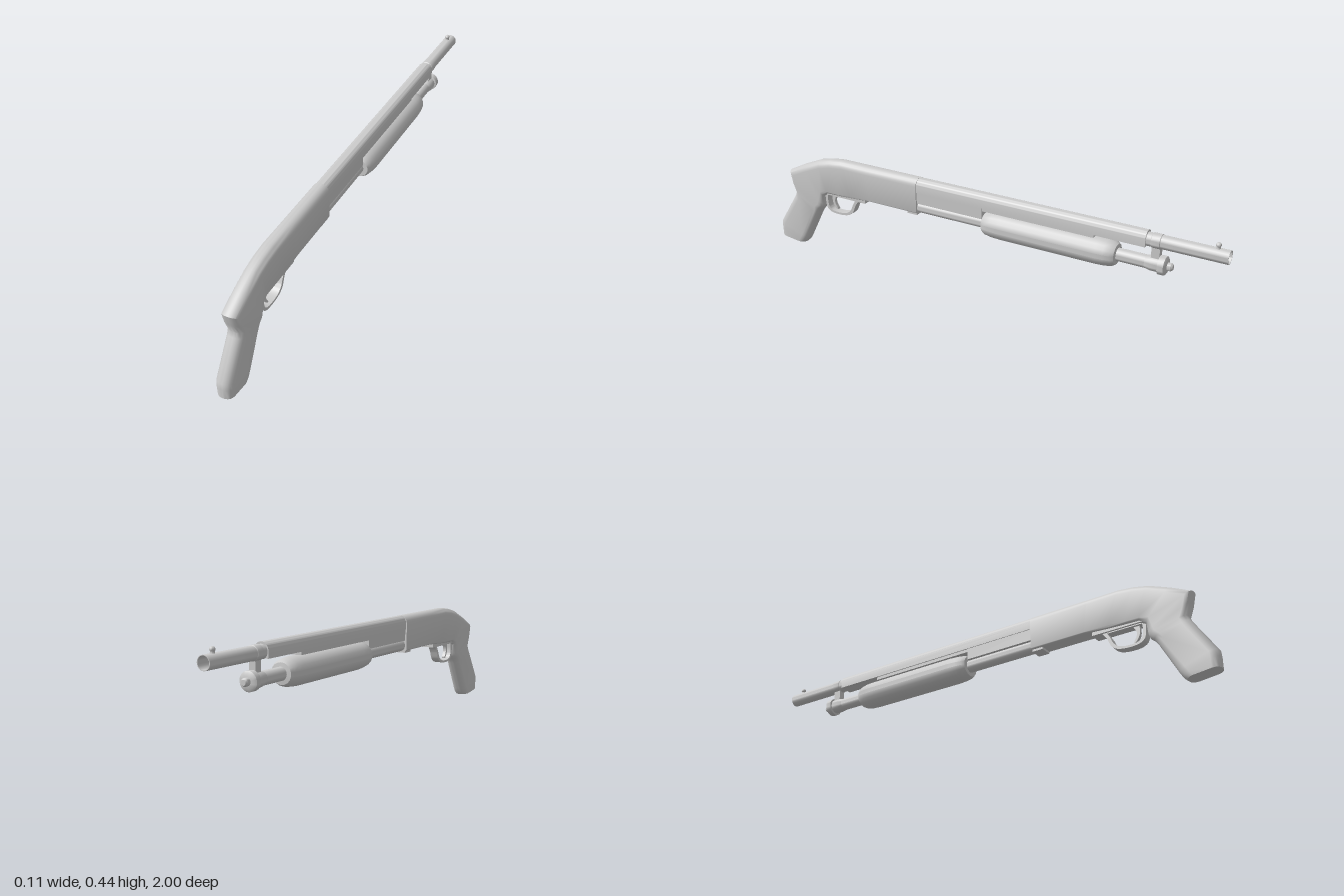
import * as THREE from 'three';
import { toCreasedNormals } from 'three/addons/utils/BufferGeometryUtils.js';

const material = new THREE.MeshStandardMaterial({ color: 0xcccccc, side: THREE.DoubleSide });

export function createModel() {
  const model = new THREE.Group();

  function add(name, geometry, x = 0, y = 0, z = 0, crease = 0.6) {
    const mesh = new THREE.Mesh(toCreasedNormals(geometry, crease), material);
    mesh.name = name;
    mesh.position.set(x, y, z);
    model.add(mesh);
    return mesh;
  }
  const box = (name, w, y0, y1, z0, z1) =>
    add(name, new THREE.BoxGeometry(w, y1 - y0, z1 - z0), 0, (y0 + y1) / 2, (z0 + z1) / 2);

  // Turned part along z; profile rows are [radius, z], running from rear to muzzle
  function turned(name, y, profile, sides = 24) {
    const points = profile.map(([r, z]) => new THREE.Vector2(r, -z));
    return add(name, new THREE.LatheGeometry(points, sides).rotateX(-Math.PI / 2), 0, y, 0);
  }

  // Side outline given as [z, y], extruded across x
  function sideShape(points, Type = THREE.Shape) {
    return new Type(new THREE.SplineCurve(points.map(p => new THREE.Vector2(...p))).getPoints(points.length * 5));
  }
  function sideExtrude(name, shape, width) {
    const geometry = new THREE.ExtrudeGeometry(shape, { depth: width, bevelEnabled: false });
    add(name, geometry.translate(0, 0, -width / 2).rotateY(-Math.PI / 2));
  }

  // Receiver and pistol grip: rounded sections lofted from the front to the butt
  // [top z, top y, bottom z, bottom y, half width, top radius, bottom radius]
  const sections = [
    [0.27, 0.432, 0.27, 0.285, 0.033, 0.03, 0.008],
    [0.52, 0.432, 0.5, 0.285, 0.033, 0.03, 0.008],
    [0.65, 0.432, 0.6, 0.278, 0.033, 0.03, 0.01],
    [0.71, 0.425, 0.66, 0.275, 0.033, 0.03, 0.012],
    [0.765, 0.412, 0.72, 0.27, 0.033, 0.03, 0.02],
    [0.85, 0.376, 0.744, 0.255, 0.033, 0.03, 0.025],
    [0.928, 0.337, 0.747, 0.215, 0.033, 0.03, 0.03],
    [0.918, 0.29, 0.752, 0.2, 0.033, 0.03, 0.03],
    [0.902, 0.245, 0.768, 0.187, 0.033, 0.03, 0.03],
    [0.91, 0.225, 0.782, 0.165, 0.033, 0.03, 0.03],
    [0.998, 0.086, 0.85, 0.035, 0.033, 0.03, 0.03],
    [1.0, 0.06, 0.863, 0.014, 0.033, 0.03, 0.03],
    [1.0, 0.018, 0.875, 0.003, 0.031, 0.028, 0.028],
  ];
  const positions = [], index = [], perCorner = 6, ring = perCorner * 4;
  sections.forEach(([tz, ty, bz, by, w, rt, rb]) => {
    const length = Math.hypot(tz - bz, ty - by);
    for (let j = 0; j < ring; j++) {
      const corner = Math.floor(j / perCorner);
      const angle = (corner + (j % perCorner) / (perCorner - 1)) * Math.PI / 2;
      const r = corner < 2 ? rt : rb;
      const sx = corner === 0 || corner === 3 ? 1 : -1;
      const x = sx * (w - r) + r * Math.cos(angle);
      const v = ((corner < 2 ? length - r : r) + r * Math.sin(angle)) / length;
      positions.push(x, by + (ty - by) * v, bz + (tz - bz) * v);
    }
  });
  const last = (sections.length - 1) * ring;
  for (const s of [sections[0], sections.at(-1)]) positions.push(0, (s[1] + s[3]) / 2, (s[0] + s[2]) / 2);
  const center = last + ring;
  for (let j = 0; j < ring; j++) {
    const k = (j + 1) % ring;
    for (let a = 0; a < last; a += ring) index.push(a + j, a + k, a + ring + j, a + k, a + ring + k, a + ring + j);
    index.push(center, k, j, center + 1, last + j, last + k);
  }
  const body = new THREE.BufferGeometry();
  body.setAttribute('position', new THREE.Float32BufferAttribute(positions, 3));
  body.setIndex(index);
  add('receiverAndGrip', body, 0, 0, 0, 0.75);
  box('receiverLug', 0.05, 0.276, 0.29, 0.272, 0.318);

  // Arched shroud over the barrel
  const arch = new THREE.Shape();
  arch.moveTo(-0.029, 0.375);
  arch.lineTo(0.029, 0.375);
  arch.lineTo(0.029, 0.403);
  arch.absarc(0, 0.403, 0.029, 0, Math.PI);
  add('barrelShroud', new THREE.ExtrudeGeometry(arch, { depth: 0.975, bevelEnabled: false, curveSegments: 16 }), 0, 0, -0.7);

  // Barrel with an open bore, and the bead sight
  turned('barrel', 0.398, [[0.026, 0], [0.026, -1], [0.0235, -1], [0.0235, -0.6], [0, -0.6]]);
  add('sightPost', new THREE.CylinderGeometry(0.007, 0.009, 0.02, 12), 0, 0.427, -0.955);
  add('sightBead', new THREE.SphereGeometry(0.01, 14, 10), 0, 0.436, -0.955);

  // Action housing below the shroud
  box('actionRail', 0.05, 0.362, 0.378, -0.5, 0.28);
  box('actionHousing', 0.052, 0.328, 0.378, -0.03, 0.28);

  // Magazine tube, end cap and barrel clamp
  turned('magazineTube', 0.307, [[0, 0.28], [0.025, 0.28], [0.025, -0.72]]);
  turned('magazineCap', 0.307, [
    [0.025, -0.7], [0.029, -0.722], [0.029, -0.75], [0.036, -0.752], [0.036, -0.775],
    [0.028, -0.78], [0.015, -0.782], [0.015, -0.795], [0.01, -0.802], [0, -0.802],
  ]);
  box('barrelClamp', 0.026, 0.325, 0.382, -0.752, -0.72);
  turned('clampRing', 0.398, [[0.026, -0.718], [0.028, -0.72], [0.028, -0.752], [0.026, -0.754]]);

  // Sliding forend with rounded ends
  turned('forend', 0.307, [
    [0.025, -0.034], [0.043, -0.034], [0.05, -0.045], [0.055, -0.075], [0.057, -0.11], [0.057, -0.52],
    [0.055, -0.55], [0.05, -0.575], [0.042, -0.588], [0.025, -0.59],
  ], 18).scale.y = 0.95;

  // Trigger plate, guard and trigger
  box('triggerPlate', 0.05, 0.268, 0.29, 0.53, 0.745);
  const guard = sideShape([[0.565, 0.272], [0.585, 0.245], [0.605, 0.205], [0.64, 0.187], [0.7, 0.185],
    [0.733, 0.2], [0.742, 0.235], [0.742, 0.272]]);
  guard.holes.push(sideShape([[0.588, 0.264], [0.6, 0.242], [0.615, 0.213], [0.645, 0.196], [0.695, 0.194],
    [0.722, 0.206], [0.73, 0.235], [0.728, 0.264]], THREE.Path));
  sideExtrude('triggerGuard', guard, 0.034);
  sideExtrude('trigger', sideShape([[0.68, 0.275], [0.698, 0.25], [0.7, 0.228], [0.687, 0.203],
    [0.696, 0.203], [0.711, 0.226], [0.714, 0.25], [0.712, 0.275]]), 0.014);

  return model;
}
